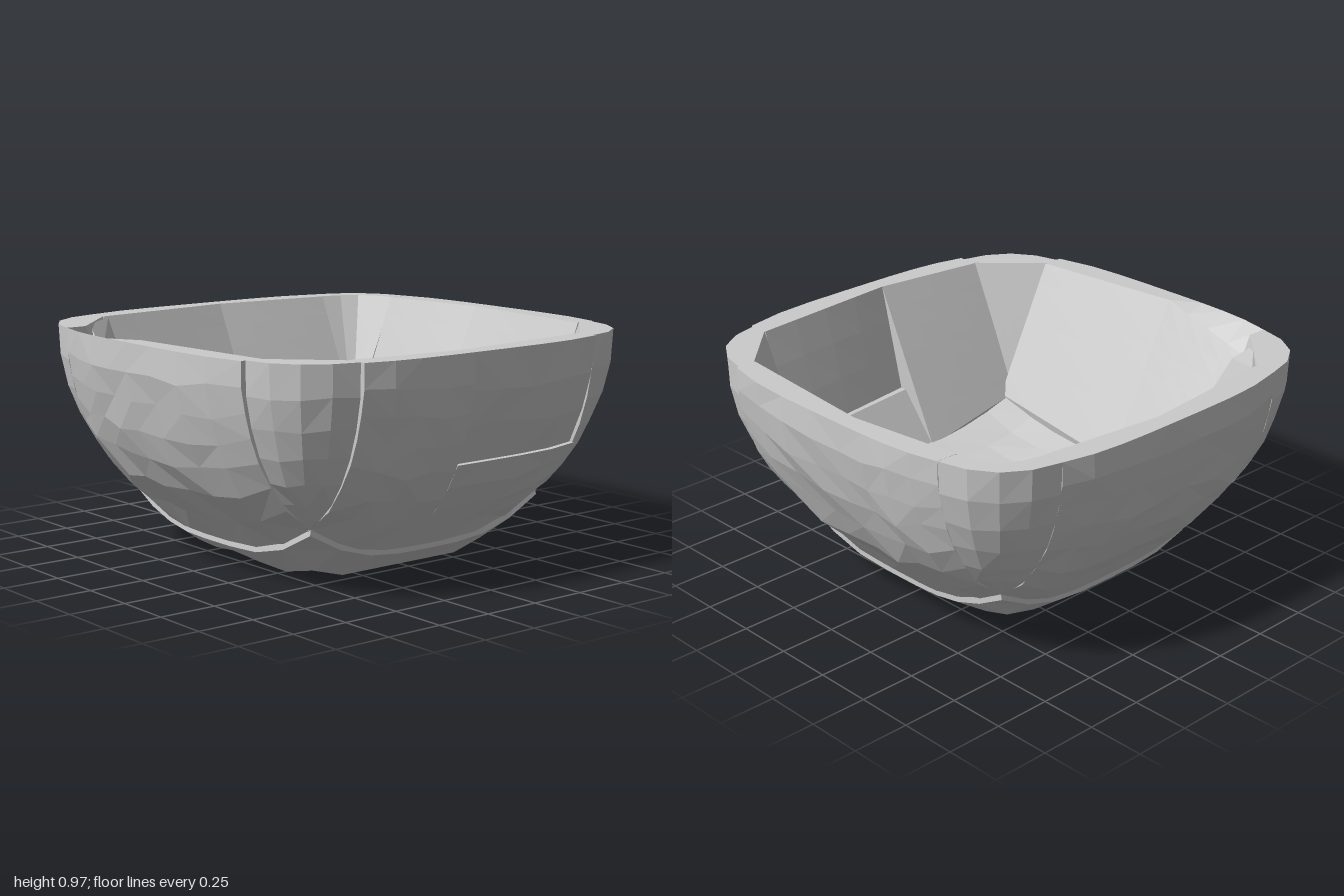
import * as THREE from 'three';
import { ConvexGeometry } from 'three/addons/geometries/ConvexGeometry.js';

const material = new THREE.MeshStandardMaterial({ color: 0xcccccc, flatShading: true });
const N = 3.7;       // squareness of the horizontal outline
const TOP = 0.97;    // rim height
const HALF = 0.6;    // half width of the square floor
const BASE = 0.62;   // half width of the base blocks
const lerp = THREE.MathUtils.lerp;

// Bowl profile: half width against height
const WIDTHS = [0.43, 0.6, 0.65, 0.74, 0.83, 0.92, 0.97, 1, 1];
const HEIGHTS = [0, 0.1, 0.165, 0.26, 0.365, 0.53, 0.69, 0.85, TOP];

function table(xs, ys, x) {
  if (x <= xs[0]) return ys[0];
  for (let i = 1; i < xs.length; i++) {
    if (x <= xs[i]) return lerp(ys[i - 1], ys[i], (x - xs[i - 1]) / (xs[i] - xs[i - 1]));
  }
  return ys[ys.length - 1];
}
const widthAt = y => table(HEIGHTS, WIDTHS, y);
const heightAt = r => table(WIDTHS, HEIGHTS, r);
const norm = (x, z) => Math.pow(Math.abs(x) ** N + Math.abs(z) ** N, 1 / N);
const across = (r, a) => Math.pow(Math.max(r ** N - Math.abs(a) ** N, 0), 1 / N);

let seed = 7;
function rand() {
  seed = (seed * 16807) % 2147483647;
  return seed / 2147483647;
}

// Closed slab between two grids of points, outer(u, v) and inner(u, v)
function slab(name, nu, nv, outer, inner, rough = 0) {
  const pos = [], idx = [], row = nv + 1, layer = (nu + 1) * row;
  for (const [k, surface] of [outer, inner].entries()) {
    for (let i = 0; i <= nu; i++) for (let j = 0; j <= nv; j++) {
      const p = surface(i / nu, j / nv);
      if (k === 0 && i > 0 && i < nu && j > 0 && j < nv) {
        const s = 1 + (rand() - 0.4) * rough;
        p[0] *= s;
        p[2] *= s;
        p[1] += (rand() - 0.5) * rough * 3;
      }
      pos.push(...p);
    }
  }
  const at = (k, i, j) => k * layer + i * row + j;
  const quad = (a, b, c, d, turn) => turn ? idx.push(a, b, d, b, c, d) : idx.push(a, b, c, a, c, d);
  for (let i = 0; i < nu; i++) for (let j = 0; j < nv; j++) {
    quad(at(0, i, j), at(0, i + 1, j), at(0, i + 1, j + 1), at(0, i, j + 1), rand() > 0.5);
    quad(at(1, i, j), at(1, i, j + 1), at(1, i + 1, j + 1), at(1, i + 1, j));
  }
  for (let i = 0; i < nu; i++) {
    quad(at(0, i, 0), at(1, i, 0), at(1, i + 1, 0), at(0, i + 1, 0));
    quad(at(0, i, nv), at(0, i + 1, nv), at(1, i + 1, nv), at(1, i, nv));
  }
  for (let j = 0; j < nv; j++) {
    quad(at(0, 0, j), at(0, 0, j + 1), at(1, 0, j + 1), at(1, 0, j));
    quad(at(0, nu, j), at(1, nu, j), at(1, nu, j + 1), at(0, nu, j + 1));
  }
  // Turn the faces outward if the enclosed volume is negative
  const a = new THREE.Vector3(), b = new THREE.Vector3(), c = new THREE.Vector3();
  let volume = 0;
  for (let t = 0; t < idx.length; t += 3) {
    a.fromArray(pos, idx[t] * 3);
    b.fromArray(pos, idx[t + 1] * 3);
    c.fromArray(pos, idx[t + 2] * 3);
    volume += a.dot(b.cross(c));
  }
  if (volume < 0) idx.reverse();
  const geometry = new THREE.BufferGeometry();
  geometry.setAttribute('position', new THREE.Float32BufferAttribute(pos, 3));
  geometry.setIndex(idx);
  geometry.computeVertexNormals();
  const mesh = new THREE.Mesh(geometry, material);
  mesh.name = name;
  return mesh;
}

// Wall panel on the +z side, from x = a0 to a1; split is where the wall is deepest.
// foot is the inner distance at the floor, push moves the outer foot in or out,
// ledge hollows the inside towards the cut between two blocks, dip lowers the inner rim
function wallPanel(name, a0, a1, split, foot, { from = 0, to = TOP, push = 1, ledge = 0, dip = 0 } = {}) {
  const x = u => lerp(a0, a1, u);
  const bend = a => Math.abs(a - split) / (a < split ? split + 0.62 : 0.62 - split);
  const outer = (u, v) => {
    const a = x(u);
    const y = lerp(Math.max(from, heightAt(norm(a, 0.605))), to, v);
    return [a, y, across(widthAt(y), a) * lerp(push, 1, v)];
  };
  const inner = (u, v) => {
    const a = x(u), k = bend(a);
    const floor = lerp(0.28, 0.39, k);
    const y = lerp(Math.max(from, floor), to, v);
    const f = (y - floor) / (TOP - floor);
    const hollow = ledge * lerp(1, 0.55, k) * (from > 0 ? 1 - v : v);
    return [a, y - dip * k * v, lerp(foot, lerp(0.92, 0.855, k), f) + hollow];
  };
  const rows = Math.max(2, Math.round((to - from) * 7));
  return slab(name, 4, rows, outer, inner, 0.012);
}

// Wedge between the front and right walls, tapering down to the base corner
function cornerWedge(name, push, bulge) {
  const low = heightAt(norm(0.62, 0.61)) + 0.004;
  const outer = (u, v) => {
    const y = lerp(low, TOP, v ** 1.4), r = widthAt(y);
    const t0 = Math.atan2(0.621, across(r, 0.621));
    const t = lerp(t0, Math.PI / 2 - t0, u);
    const swell = lerp(1, push, v) + 0.025 * v * Math.sin(Math.PI * u);
    const s = r / norm(Math.sin(t), Math.cos(t)) * swell;
    return [Math.sin(t) * s, y, Math.cos(t) * s];
  };
  const inner = (u, v) => {
    const out = Math.sin(Math.PI * u) * bulge * v;
    return [
      lerp(0.605, lerp(0.621, 0.86, u), v) + out,
      lerp(0.4, TOP, v),
      lerp(0.605, lerp(0.86, 0.621, u), v) + out,
    ];
  };
  return slab(name, 4, 7, outer, inner, 0.006);
}

// Half of the base, with a shallow crease where the halves meet
function baseBlock(name, z0, z1) {
  const outer = (u, v) => {
    const x = lerp(-BASE, BASE, u), z = lerp(z0, z1, v);
    const crease = 0.035 * Math.max(0, 1 - Math.abs(z + 0.1) / 0.3) * (1 - (x / BASE) ** 4);
    return [x, Math.max(0, heightAt(norm(x, z)) - 0.025) + crease, z];
  };
  const inner = (u, v) => {
    const x = lerp(-HALF, BASE, u), z = lerp(z0, z1, v) * HALF / BASE;
    const e = Math.max(Math.abs(x), Math.abs(z)) / HALF;
    return [x, 0.22 + 0.07 * e * e + 0.1 * (x * z / 0.36) ** 2, z];
  };
  return slab(name, 8, 4, outer, inner);
}

export function createModel() {
  const group = new THREE.Group();
  group.name = 'stoneBowl';

  // Four walls, each split into two panels
  const sides = [['front', -0.1, 0.59], ['right', 0.1, 0.615], ['back', -0.06, 0.6], ['left', -0.1, 0.565]];
  sides.forEach(([side, split, foot], k) => {
    const wall = new THREE.Group();
    wall.name = side + 'Wall';
    wall.add(wallPanel(side + 'PanelA', -0.62, split, split, foot, { dip: side === 'left' ? 0.11 : 0 }));
    if (side === 'front') {
      // Lower block stands proud of the panel above it, inside and out
      wall.add(wallPanel('frontLowerBlock', split, 0.62, split, foot, { to: 0.505, ledge: 0.075 }));
      wall.add(wallPanel('frontUpperBlock', split, 0.62, split, foot, { from: 0.505, push: 0.97, ledge: 0.105 }));
    } else {
      wall.add(wallPanel(side + 'PanelB', split, 0.62, split, foot));
    }
    wall.rotation.y = k * Math.PI / 2;
    group.add(wall);
  });

  // Corner wedges
  const corners = [['frontPlusX', 0.99, 0], ['backPlusX', 1, 0.05], ['backMinusX', 1, 0], ['frontMinusX', 0.98, 0]];
  corners.forEach(([name, push, bulge], k) => {
    const wedge = cornerWedge(name + 'Corner', push, bulge);
    wedge.rotation.y = k * Math.PI / 2;
    group.add(wedge);
  });

  // Chunk filling the inside of the back corner
  const chunk = new THREE.Mesh(new ConvexGeometry([
    [-0.6, 0.965, -0.85], [-0.79, 0.965, -0.7], [-0.81, 0.86, -0.57], [-0.74, 0.64, -0.48],
    [-0.6, 0.35, -0.48], [-0.6, 0.4, -0.62], [-0.85, 0.9, -0.8], [-0.65, 0.4, -0.65],
  ].map(p => new THREE.Vector3(...p))), material);
  chunk.name = 'innerCornerChunk';
  group.add(chunk);

  // Base blocks
  group.add(baseBlock('baseBack', -BASE, -0.1), baseBlock('baseFront', -0.1, BASE));

  // Raised lip at the foot of the back wall
  group.add(slab('backLip', 1, 1,
    (u, v) => [lerp(-0.6, 0.06, u), lerp(0.33, 0.25, u), lerp(-0.66, -0.5, v)],
    (u, v) => [lerp(-0.6, 0.06, u), lerp(0.44, 0.39, u), lerp(-0.68, -0.6, v)]));

  return group;
}
